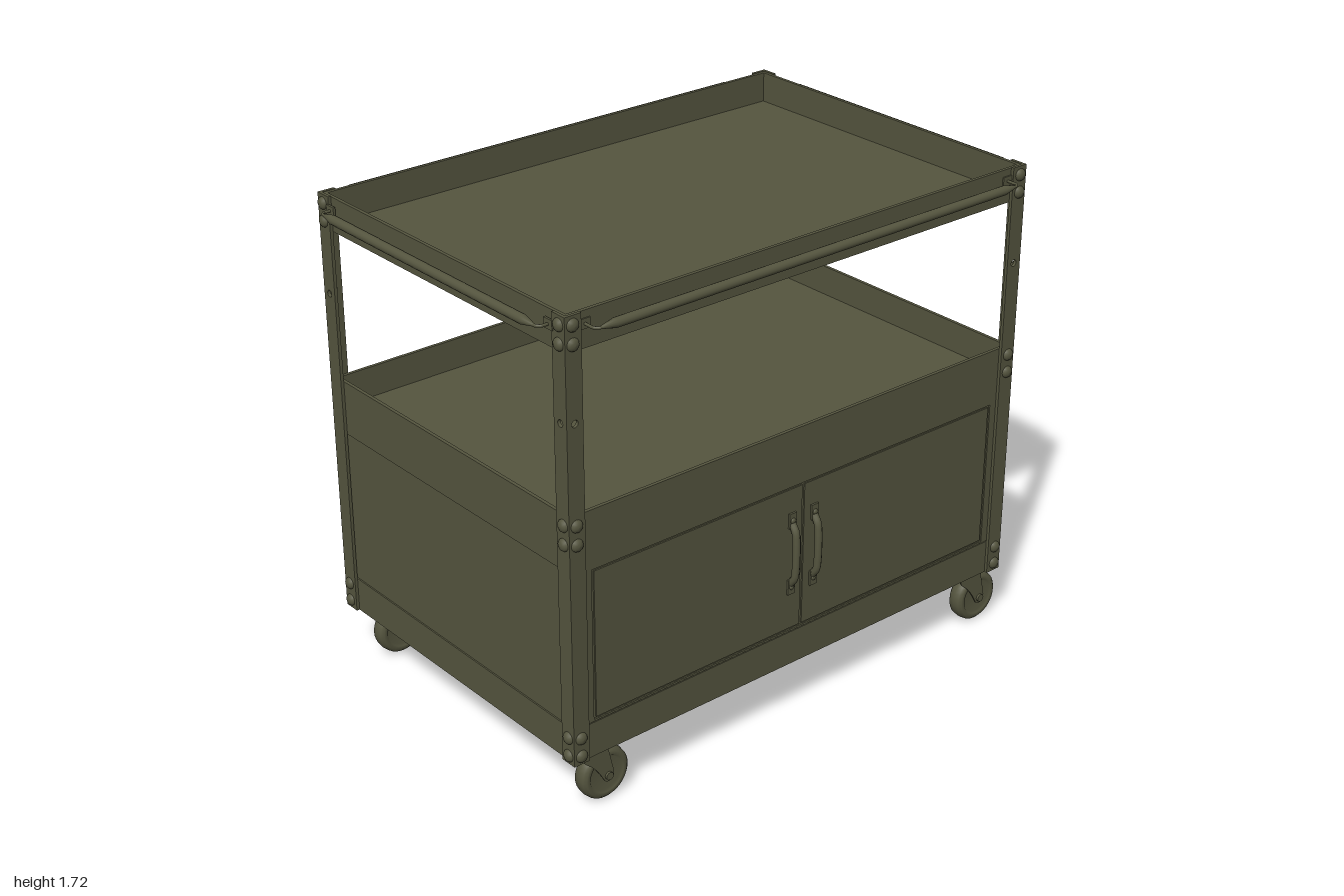
import * as THREE from 'three';

export function createModel() {
  const root = new THREE.Group();
  root.name = 'utilityCart';
  const olive = new THREE.MeshStandardMaterial({ color: 0x55553f });
  olive.name = 'olive paint';

  const add = (name, geo, x = 0, y = 0, z = 0, parent = root) => {
    const m = new THREE.Mesh(geo, olive);
    m.name = name;
    m.position.set(x, y, z);
    parent.add(m);
    return m;
  };
  // box given by its lower and upper y
  const slab = (name, w, y0, y1, d, x = 0, z = 0, parent = root) =>
    add(name, new THREE.BoxGeometry(w, y1 - y0, d), x, (y0 + y1) / 2, z, parent);
  const group = (name, parent = root) => {
    const g = new THREE.Group();
    g.name = name;
    parent.add(g);
    return g;
  };

  const HX = 0.935, HZ = 0.624, T = 0.012;

  // four upright sheets around a rectangle
  function walls(name, hx, hz, y0, y1, parent) {
    for (const s of [-1, 1]) {
      slab(name, 2 * hx, y0, y1, T, 0, s * (hz - T / 2), parent);
      slab(name, T, y0, y1, 2 * (hz - T), s * (hx - T / 2), 0, parent);
    }
  }
  function tray(name, y0, y1) {
    const g = group(name);
    slab('trayFloor', 2 * (HX - T), y0, y0 + T, 2 * (HZ - T), 0, 0, g);
    walls('trayWall', HX, HZ, y0, y1, g);
  }
  tray('topTray', 1.6, 1.718);
  tray('middleTray', 0.955, 1.075);
  tray('bottomTray', 0.21, 0.333);

  // cabinet between the lower trays
  const cabinet = group('cabinet');
  walls('cabinetPanel', HX - 0.005, HZ - 0.005, 0.333, 0.883, cabinet);
  walls('cabinetTopBand', HX, HZ, 0.883, 0.955, cabinet);

  // front frame with an opening, and two doors inside it
  const frame = new THREE.Shape();
  const rect = (p, x0, y0, x1, y1) =>
    p.moveTo(x0, y0).lineTo(x1, y0).lineTo(x1, y1).lineTo(x0, y1).closePath();
  rect(frame, -0.89, 0.336, 0.89, 0.883);
  const opening = new THREE.Path();
  rect(opening, -0.858, 0.343, 0.858, 0.872);
  frame.holes.push(opening);
  add('doorFrame', new THREE.ExtrudeGeometry(frame, { depth: 0.006, bevelEnabled: false }), 0, 0, 0.618, cabinet);
  for (const s of [-1, 1]) {
    slab('door', 0.844, 0.35, 0.865, 0.006, s * 0.427, 0.621, cabinet);
    const handle = group('doorHandle', cabinet);
    const grip = new THREE.CatmullRomCurve3([
      [0.52, 0.626], [0.545, 0.643], [0.58, 0.648], [0.68, 0.648], [0.715, 0.643], [0.74, 0.626],
    ].map(([y, z]) => new THREE.Vector3(s * 0.048, y, z)));
    add('handleGrip', new THREE.TubeGeometry(grip, 24, 0.013, 10), 0, 0, 0, handle);
    for (const y of [0.508, 0.752]) {
      slab('handleFoot', 0.03, y - 0.027, y + 0.027, 0.008, s * 0.048, 0.627, handle);
      const screw = add('handleScrew', new THREE.SphereGeometry(0.01, 12, 8), s * 0.048, y, 0.631, handle);
      screw.scale.z = 0.6;
    }
  }

  // angle-iron corner posts with a drilled hole and domed bolts
  const flange = new THREE.Shape();
  rect(flange, -0.03, 0.21, 0.03, 1.72);
  const hole = new THREE.Path();
  hole.absarc(0, 1.38, 0.012, 0, Math.PI * 2, true);
  flange.holes.push(hole);
  const flangeGeo = new THREE.ExtrudeGeometry(flange, { depth: 0.011, bevelEnabled: false, curveSegments: 12 });
  flangeGeo.translate(0, 0, -0.0055);
  const boltGeo = new THREE.LatheGeometry(
    [[0.021, 0], [0.021, 0.004], [0.017, 0.01], [0.009, 0.014], [0, 0.015]].map(([r, y]) => new THREE.Vector2(r, y)), 16);
  const boltRows = [0.24, 0.305, 0.983, 1.047, 1.63, 1.69];
  for (const sx of [-1, 1]) for (const sz of [-1, 1]) {
    const post = group('cornerPost', root);
    add('postFlange', flangeGeo, sx * 0.916, 0, sz * 0.6295, post);
    add('postFlange', flangeGeo, sx * 0.9405, 0, sz * 0.605, post).rotation.y = Math.PI / 2;
    for (const y of boltRows) {
      add('bolt', boltGeo, sx * 0.918, y, sz * 0.634, post).rotation.x = sz * Math.PI / 2;
      // the rear side flanges carry no bolts at the middle tray
      if (sz > 0 || y < 0.9 || y > 1.5)
        add('bolt', boltGeo, sx * 0.945, y, sz * 0.607, post).rotation.z = -sx * Math.PI / 2;
    }
  }

  // push rails: a bar with tapered ends carried on thin bent rods
  function rail(half, reach, wall, angle) {
    const g = group('pushRail');
    g.rotation.y = angle;
    const h = half - 0.02;
    const profile = [[0, -h], [0.005, -h], [0.016, -h + 0.05], [0.016, h - 0.05], [0.005, h], [0, h]];
    const bar = add('railBar', new THREE.LatheGeometry(profile.map(([r, y]) => new THREE.Vector2(r, y)), 14),
      0, 1.678, reach, g);
    bar.rotation.z = Math.PI / 2;
    for (const s of [-1, 1]) {
      const path = new THREE.CurvePath();
      const pts = [[half, wall], [half, reach - 0.012], [half - 0.012, reach], [half - 0.035, reach]]
        .map(([x, z]) => new THREE.Vector3(s * x, 1.678, z));
      for (let i = 0; i < 3; i++) path.add(new THREE.LineCurve3(pts[i], pts[i + 1]));
      add('railRod', new THREE.TubeGeometry(path, 18, 0.005, 8), 0, 0, 0, g);
      slab('railMount', 0.04, 1.662, 1.694, 0.008, s * half, wall + 0.003, g);
    }
  }
  rail(0.868, 0.678, 0.622, 0);
  rail(0.868, 0.678, 0.622, Math.PI);
  rail(0.562, 0.984, 0.943, Math.PI / 2);
  rail(0.562, 0.984, 0.943, -Math.PI / 2);

  // swivel casters, all trailing toward +x
  const wheelGeo = new THREE.LatheGeometry(
    [[0, -0.022], [0.06, -0.022], [0.066, -0.029], [0.08, -0.029], [0.09, -0.02], [0.093, 0],
      [0.09, 0.02], [0.08, 0.029], [0.066, 0.029], [0.06, 0.022], [0, 0.022]]
      .map(([r, y]) => new THREE.Vector2(r, y)), 36);
  const cheek = new THREE.Shape();
  cheek.moveTo(-0.05, 0.203).lineTo(0.05, 0.203).lineTo(0.074, 0.1);
  cheek.absarc(0.052, 0.093, 0.022, 0.3, -2.3, true);
  cheek.quadraticCurveTo(0.005, 0.14, -0.03, 0.165);
  cheek.quadraticCurveTo(-0.05, 0.18, -0.05, 0.203);
  const cheekGeo = new THREE.ExtrudeGeometry(cheek, { depth: 0.005, bevelEnabled: false });
  for (const sx of [-1, 1]) for (const sz of [-1, 1]) {
    const caster = group('caster');
    caster.position.set(sx * 0.84, 0, sz * 0.565);
    add('casterPivot', new THREE.CylinderGeometry(0.03, 0.03, 0.014, 20), 0, 0.206, 0, caster);
    slab('forkBridge', 0.1, 0.194, 0.203, 0.074, 0, 0, caster);
    for (const z of [-0.037, 0.032]) add('forkCheek', cheekGeo, 0, 0, z, caster);
    add('wheel', wheelGeo, 0.052, 0.093, 0, caster).rotation.x = Math.PI / 2;
    add('axle', new THREE.CylinderGeometry(0.014, 0.014, 0.09, 12), 0.052, 0.093, 0, caster).rotation.x = Math.PI / 2;
  }
  return root;
}
